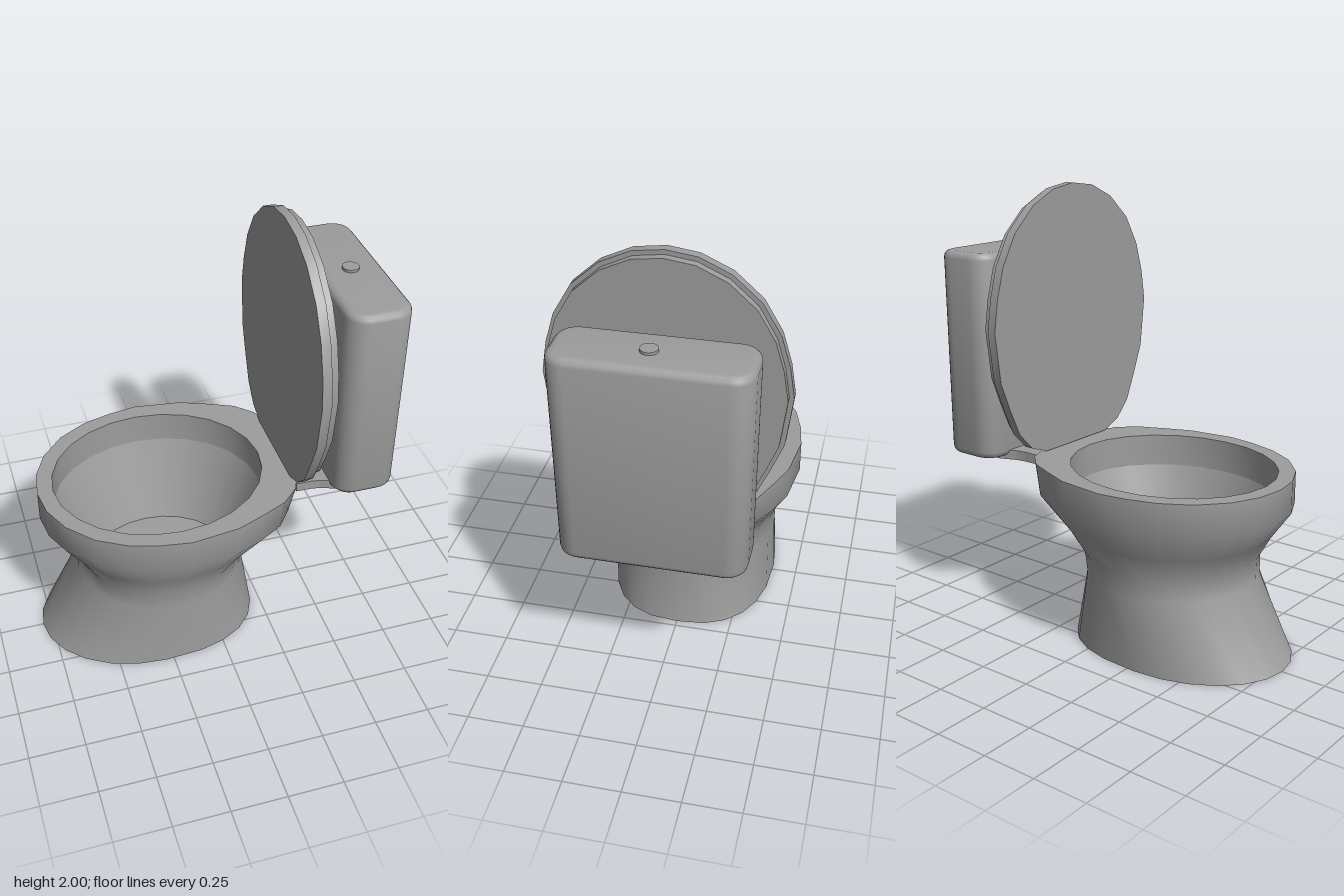
import * as THREE from 'three';
import { toCreasedNormals } from 'three/addons/utils/BufferGeometryUtils.js';

const SIDES = 24;
const material = new THREE.MeshStandardMaterial({ color: 0x9d9d9d, side: THREE.DoubleSide });

function part(name, geometry) {
  const mesh = new THREE.Mesh(geometry, material);
  mesh.name = name;
  return mesh;
}

// Plan outlines as [x, z], running from the front (-x) through +z.
// A rearPower under 1 squares off the rear half.
function ellipse(cx, rx, rz, n = SIDES, rearPower = 1) {
  return Array.from({ length: n }, (_, i) => {
    const a = (i / n) * Math.PI * 2;
    const c = -Math.cos(a), s = Math.sin(a);
    const p = c > 0 ? rearPower : 1;
    return [cx + rx * Math.sign(c) * Math.abs(c) ** p, rz * Math.sign(s) * Math.abs(s) ** p];
  });
}

const mirrorHalf = (half) => [...half, ...half.slice(1, -1).reverse().map(([x, z]) => [x, -z])];

// Egg outline of the rim, seat and lid; the underside of the rim has a rounder rear.
const eggFront = [
  [-0.755, 0], [-0.738, 0.125], [-0.68, 0.25], [-0.578, 0.363], [-0.45, 0.437], [-0.32, 0.475],
  [-0.19, 0.495], [0.025, 0.468], [0.145, 0.42],
];
const egg = mirrorHalf([...eggFront, [0.268, 0.365], [0.345, 0.29], [0.38, 0.2], [0.38, 0]]);
const rimUnderside = mirrorHalf([...eggFront, [0.255, 0.355], [0.325, 0.265], [0.365, 0.15], [0.38, 0]]);

const blend = (a, b, t) => a.map(([x, z], i) => [x + (b[i][0] - x) * t, z + (b[i][1] - z) * t]);

// Skin over a list of [height, outline] sections.
function loft(sections, crease = 1.2) {
  const n = sections[0][1].length;
  const positions = [];
  const index = [];
  for (const [y, loop] of sections) for (const [x, z] of loop) positions.push(x, y, z);
  for (let i = 0; i < sections.length - 1; i++) {
    for (let j = 0; j < n; j++) {
      const a = i * n + j, b = i * n + ((j + 1) % n);
      index.push(a, b, a + n, b, b + n, a + n);
    }
  }
  const g = new THREE.BufferGeometry();
  g.setAttribute('position', new THREE.Float32BufferAttribute(positions, 3));
  g.setIndex(index);
  return toCreasedNormals(g, crease);
}

const toShape = (loop) => new THREE.Shape(loop.map(([a, b]) => new THREE.Vector2(a, b)));

// Flat horizontal plate, optionally pierced.
function plate(loop, y, hole) {
  const shape = toShape(loop);
  if (hole) shape.holes.push(toShape(hole));
  return new THREE.ShapeGeometry(shape).rotateX(-Math.PI / 2).translate(0, y, 0);
}

// Upright egg-shaped panel, standing on its blunt end.
function panel(x, thickness, scale, top) {
  const shape = toShape(egg.map(([ex, ez]) => [ez * scale, top - (ex + 0.755) * scale]));
  const g = new THREE.ExtrudeGeometry(shape, { depth: thickness, bevelEnabled: false });
  return toCreasedNormals(g.rotateY(Math.PI / 2).translate(x, 0, 0), 0.5);
}

// Tank: rounded plan, softened top and bottom edges, slightly narrower at the foot.
function tankGeometry() {
  const bevel = 0.03, w = 0.143 - bevel, d = 0.4 - bevel, r = 0.06;
  const plan = new THREE.Shape();
  plan.absarc(w - r, d - r, r, 0, Math.PI / 2);
  plan.absarc(-w + r, d - r, r, Math.PI / 2, Math.PI);
  plan.absarc(-w + r, -d + r, r, Math.PI, Math.PI * 1.5);
  plan.absarc(w - r, -d + r, r, Math.PI * 1.5, Math.PI * 2);
  const g = new THREE.ExtrudeGeometry(plan, {
    depth: 0.93 - bevel * 2, bevelSize: bevel, bevelThickness: bevel, bevelSegments: 3, curveSegments: 4,
  }).rotateX(-Math.PI / 2).translate(0, 0.785 + bevel, 0);
  const p = g.attributes.position;
  for (let i = 0; i < p.count; i++) p.setZ(i, p.getZ(i) * (1 - 0.03 * (1.715 - p.getY(i))));
  return toCreasedNormals(g.translate(0.648, 0, -0.015), 0.7);
}

export function createModel() {
  const model = new THREE.Group();
  model.name = 'toilet';

  // Pedestal, open underneath, flaring into the bowl
  const foot = ellipse(-0.287, 0.507, 0.385, SIDES, 0.8);
  const neck = ellipse(-0.215, 0.385, 0.385);
  const upperNeck = ellipse(-0.208, 0.393, 0.388);
  const opening = ellipse(-0.21, 0.475, 0.415);
  const floor = ellipse(-0.207, 0.328, 0.287);
  const drain = ellipse(-0.41, 0.1, 0.142, 10);
  model.add(part('pedestalAndBowl', loft([
    [0, foot], [0.33, neck], [0.43, upperNeck],
    [0.54, blend(upperNeck, rimUnderside, 0.4)], [0.67, rimUnderside], [0.815, egg],
  ])));
  model.add(part('rim', plate(egg, 0.815, opening)));

  // Bowl interior with its drain
  model.add(part('innerRim', loft([[0.815, opening], [0.67, opening]])));
  model.add(part('bowlInside', loft([[0.67, opening], [0.28, floor]])));
  model.add(part('bowlFloor', plate(floor, 0.28, drain)));
  model.add(part('drain', loft([[0.28, drain], [0.12, drain]])));
  model.add(part('drainBottom', plate(drain, 0.12)));

  // Raised seat and lid
  model.add(part('seat', panel(0.345, 0.041, 1.04, 2.0)));
  model.add(part('lid', panel(0.386, 0.034, 1, 1.98)));

  // Shelf carrying the tank
  const side = [[0.36, 0.26], [0.43, 0.262], [0.47, 0.268], [0.51, 0.283], [0.55, 0.3], [0.635, 0.3]];
  const shelf = [...side, ...side.slice().reverse().map(([x, z]) => [x, -z])];
  model.add(part('tankShelf', new THREE.ExtrudeGeometry(toShape(shelf), { depth: 0.044, bevelEnabled: false })
    .rotateX(-Math.PI / 2).translate(0, 0.768, 0)));

  model.add(part('tank', tankGeometry()));

  // Flush button
  model.add(part('flushButton', toCreasedNormals(
    new THREE.CylinderGeometry(0.037, 0.037, 0.03, 16).translate(0.65, 1.712, 0), 0.7)));

  return model;
}
